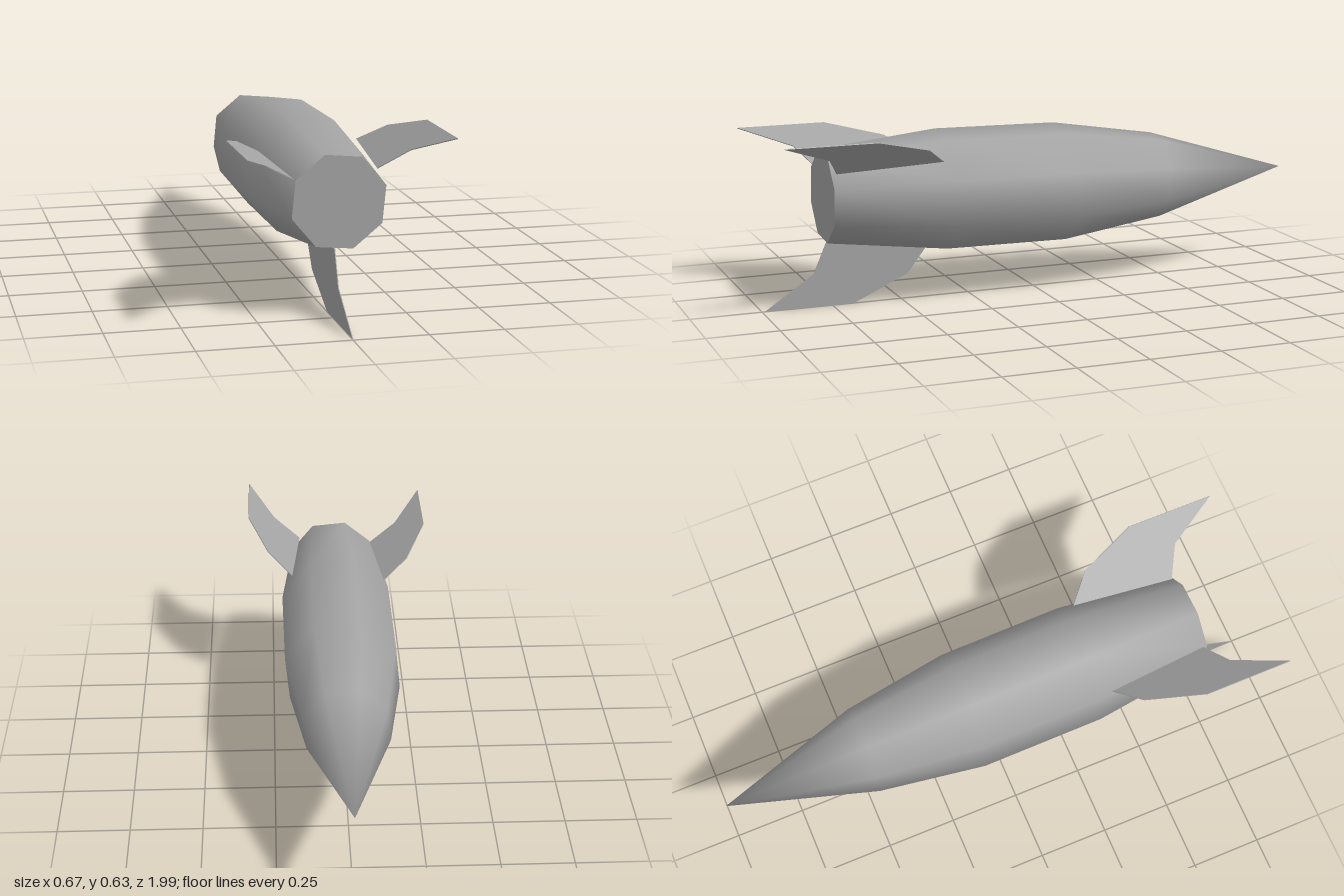
import * as THREE from 'three';

const SIDES = 8;
const TURN = THREE.MathUtils.degToRad(17);

// Hull stations from tail to shoulder: z, centre x, centre y, radius
const STATIONS = [
  [0.78, 0.012, 0.392, 0.163],
  [0.35, 0.008, 0.386, 0.213],
  [-0.1, 0.005, 0.380, 0.212],
  [-0.48, 0.004, 0.376, 0.155],
];
const NOSE_TIP = [0, 0.368, -1];

function ringPoints([z, cx, cy, r]) {
  return Array.from({ length: SIDES }, (_, k) => {
    const a = TURN + (k / SIDES) * Math.PI * 2;
    return [cx + r * Math.cos(a), cy + r * Math.sin(a), z];
  });
}

function makeGeometry(points, index) {
  const g = new THREE.BufferGeometry();
  g.setAttribute('position', new THREE.Float32BufferAttribute(points.flat(), 3));
  g.setIndex(index);
  g.computeVertexNormals();
  return g;
}

// Smooth eight-sided hull closing on a single nose point
function hullGeometry() {
  const points = [...STATIONS.flatMap(ringPoints), NOSE_TIP];
  const tip = points.length - 1;
  const index = [];
  for (let i = 0; i < STATIONS.length; i++) {
    for (let k = 0; k < SIDES; k++) {
      const n = (k + 1) % SIDES;
      const a = i * SIDES + k, b = i * SIDES + n;
      if (i === STATIONS.length - 1) index.push(a, tip, b);
      else index.push(a, a + SIDES, b, b, a + SIDES, b + SIDES);
    }
  }
  return makeGeometry(points, index);
}

// Flat disc closing the tail
function tailGeometry() {
  const index = [];
  for (let k = 1; k < SIDES - 1; k++) index.push(0, k, k + 1);
  return makeGeometry(ringPoints(STATIONS[0]), index);
}

// Thin swept fin: outline is drawn as (distance from axis, z)
function finGeometry() {
  const thickness = 0.003;
  const outline = [
    [0.155, 0.765], [0.272, 0.815], [0.389, 0.99],
    [0.39, 0.675], [0.3, 0.475], [0.195, 0.395],
  ].map(([s, z]) => new THREE.Vector2(s, z));
  const g = new THREE.ExtrudeGeometry(new THREE.Shape(outline), {
    depth: thickness, bevelEnabled: false,
  });
  g.translate(0, 0, -thickness / 2);
  g.rotateX(Math.PI / 2); // outline height becomes +z
  return g;
}

export function createModel() {
  const grey = new THREE.MeshStandardMaterial({ color: 0xa3a3a3 });
  grey.name = 'hull grey';

  const rocket = new THREE.Group();
  rocket.name = 'rocket';

  const add = (name, geometry) => {
    const mesh = new THREE.Mesh(geometry, grey);
    mesh.name = name;
    rocket.add(mesh);
    return mesh;
  };

  add('hull', hullGeometry());
  add('tailCap', tailGeometry());

  // Three fins spaced around the tail: name, angle, foot x, foot y
  const fin = finGeometry();
  for (const [name, degrees, x, y] of [
    ['bottomFin', 270, 0.002, 0.39],
    ['leftFin', 34.3, 0.013, 0.405],
    ['rightFin', 149.5, 0.001, 0.389],
  ]) {
    const mesh = add(name, fin);
    mesh.position.set(x, y, 0);
    mesh.rotation.z = THREE.MathUtils.degToRad(degrees);
  }

  return rocket;
}
